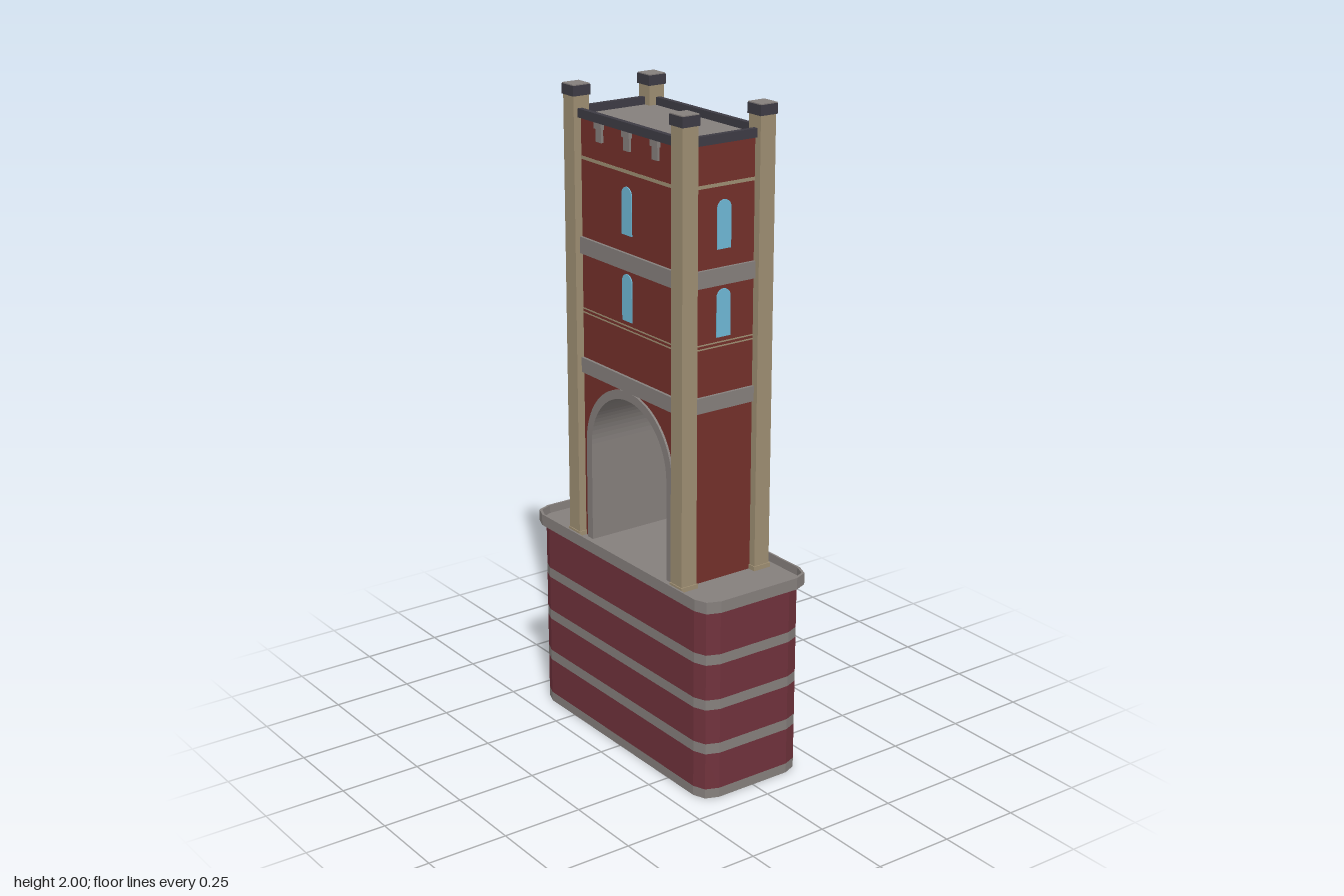
import * as THREE from 'three';

const mat = (name, color, side = THREE.FrontSide) => {
  const m = new THREE.MeshStandardMaterial({ color, side });
  m.name = name;
  return m;
};

export function createModel() {
  const model = new THREE.Group();
  model.name = 'gateTower';
  const stone = mat('grey stone', 0x857f7c);
  const plinthRed = mat('plinth red', 0x70323c);
  const brick = mat('brick red', 0x74302a);
  const sand = mat('sandstone', 0x9e8e72);
  const slate = mat('dark slate', 0x3d3b44);
  const glass = mat('window blue', 0x6fb8d6);

  const add = (name, geometry, material, parent = model) => {
    const mesh = new THREE.Mesh(geometry, material);
    mesh.name = name;
    parent.add(mesh);
    return mesh;
  };
  const box = (name, m, w, h, d, x, y, z, parent) => {
    const mesh = add(name, new THREE.BoxGeometry(w, h, d), m, parent);
    mesh.position.set(x, y, z);
    return mesh;
  };

  // Rectangle with two-step bevelled corners; hx and hz are half sizes
  const outline = (hx, hz) => {
    const corner = [[0, 0.055], [0.016, 0.015], [0.054, 0]];
    const quad = (sx, sz, flip) => {
      const p = corner.map(([a, b]) => new THREE.Vector2(sx * (hx - a), sz * (hz - b)));
      return flip ? p.reverse() : p;
    };
    return [...quad(1, 1), ...quad(-1, 1, true), ...quad(-1, -1), ...quad(1, -1, true)];
  };
  const slab = (name, m, hx, hz, y0, y1, wall = 0) => {
    const shape = new THREE.Shape(outline(hx, hz));
    if (wall) shape.holes.push(new THREE.Path(outline(hx - wall, hz - wall)));
    const g = new THREE.ExtrudeGeometry(shape, { depth: y1 - y0, bevelEnabled: false });
    g.rotateX(-Math.PI / 2);
    g.translate(0, y0, 0);
    return add(name, g, m);
  };

  // Hollow striped plinth, open underneath
  const levels = [0, 0.03, 0.145, 0.178, 0.287, 0.319, 0.43, 0.462, 0.603];
  for (let i = 0; i < levels.length - 1; i++) {
    const striped = i % 2 === 0;
    slab(striped ? 'plinthStripe' : 'plinthWall', striped ? stone : plinthRed,
      0.43, 0.18, levels[i], levels[i + 1], 0.006);
  }
  slab('terraceFloor', stone, 0.446, 0.189, 0.602, 0.612);
  slab('terraceLip', stone, 0.449, 0.193, 0.602, 0.638, 0.006);

  // Arched outline standing on y = bottom, with a round top
  const arch = (Type, r, bottom, spring, cx = 0) => {
    const p = new Type();
    p.moveTo(cx - r, bottom);
    p.lineTo(cx + r, bottom);
    p.lineTo(cx + r, spring);
    p.absarc(cx, spring, r, 0, Math.PI, false);
    p.lineTo(cx - r, bottom);
    return p;
  };
  const extrudeZ = (shape, depth) => {
    const g = new THREE.ExtrudeGeometry(shape, { depth, bevelEnabled: false, curveSegments: 20 });
    g.translate(0, 0, -depth / 2);
    return g;
  };

  // Tower body with an arched passage
  const HX = 0.265, HZ = 0.135, FLOOR = 0.61, ROOF = 1.905, SPRING = 0.92;
  const bodyShape = new THREE.Shape([
    new THREE.Vector2(-HX, FLOOR), new THREE.Vector2(HX, FLOOR),
    new THREE.Vector2(HX, ROOF), new THREE.Vector2(-HX, ROOF)]);
  bodyShape.holes.push(arch(THREE.Path, 0.21, FLOOR + 0.001, SPRING));
  add('towerBody', extrudeZ(bodyShape, HZ * 2), brick);
  const liningShape = arch(THREE.Shape, 0.217, FLOOR, SPRING);
  liningShape.holes.push(arch(THREE.Path, 0.19, FLOOR + 0.0005, SPRING));
  add('archLining', extrudeZ(liningShape, HZ * 2 + 0.014), stone);
  box('roof', stone, HX * 2 - 0.01, 0.004, HZ * 2 - 0.01, 0, ROOF + 0.001, 0);

  // Stone courses and thin sandstone lines around the body
  const course = (name, m, y0, y1, out) =>
    box(name, m, (HX + out) * 2, y1 - y0, (HZ + out) * 2, 0, (y0 + y1) / 2, 0);
  course('upperCourse', stone, 1.503, 1.553, 0.009);
  // The lower course is split into strips so the passage stays clear
  course('lowerCourse', stone, 1.137, 1.183, 0.009);
  course('sandLineTop', sand, 1.783, 1.793, 0.001);
  course('sandLineLow', sand, 1.321, 1.325, 0.001);
  course('sandLineLow', sand, 1.333, 1.337, 0.001);

  // Parapet rails
  for (const s of [-1, 1]) {
    box('longRail', slate, 0.5, 0.026, 0.016, 0, 1.918, s * 0.138);
    box('shortRail', slate, 0.016, 0.026, 0.24, s * 0.267, 1.918, 0);
  }

  // Corner pillars with capped tops
  for (const sx of [-1, 1]) for (const sz of [-1, 1]) {
    const pillar = new THREE.Group();
    pillar.name = 'cornerPillar';
    pillar.position.set(sx * 0.262, 0, sz * 0.133);
    model.add(pillar);
    box('pillarShaft', sand, 0.053, 1.36, 0.053, 0, 1.29, 0, pillar);
    box('pillarFoot', sand, 0.059, 0.014, 0.059, 0, 0.619, 0, pillar);
    box('pillarCap', slate, 0.06, 0.03, 0.06, 0, 1.982, 0, pillar);
    box('pillarCapTop', stone, 0.057, 0.004, 0.057, 0, 1.998, 0, pillar);
  }

  // Windows on all four faces, brackets on the two long faces
  for (let i = 0; i < 4; i++) {
    const face = new THREE.Group();
    face.name = 'wallDetails';
    face.rotation.y = i * Math.PI / 2;
    model.add(face);
    const out = i % 2 ? HX : HZ;
    for (const y of [1.35, 1.605]) {
      const shape = arch(THREE.Shape, 0.024, y, y + 0.116, i % 2 ? 0 : -0.007);
      add('window', extrudeZ(shape, 0.006), glass, face).position.z = out;
    }
    if (i % 2) continue;
    for (const x of [-0.137, 0, 0.135]) {
      box('bracketTop', stone, 0.036, 0.018, 0.012, x, 1.896, out + 0.005, face);
      box('bracket', stone, 0.028, 0.04, 0.009, x, 1.869, out + 0.003, face);
    }
  }
  return model;
}
